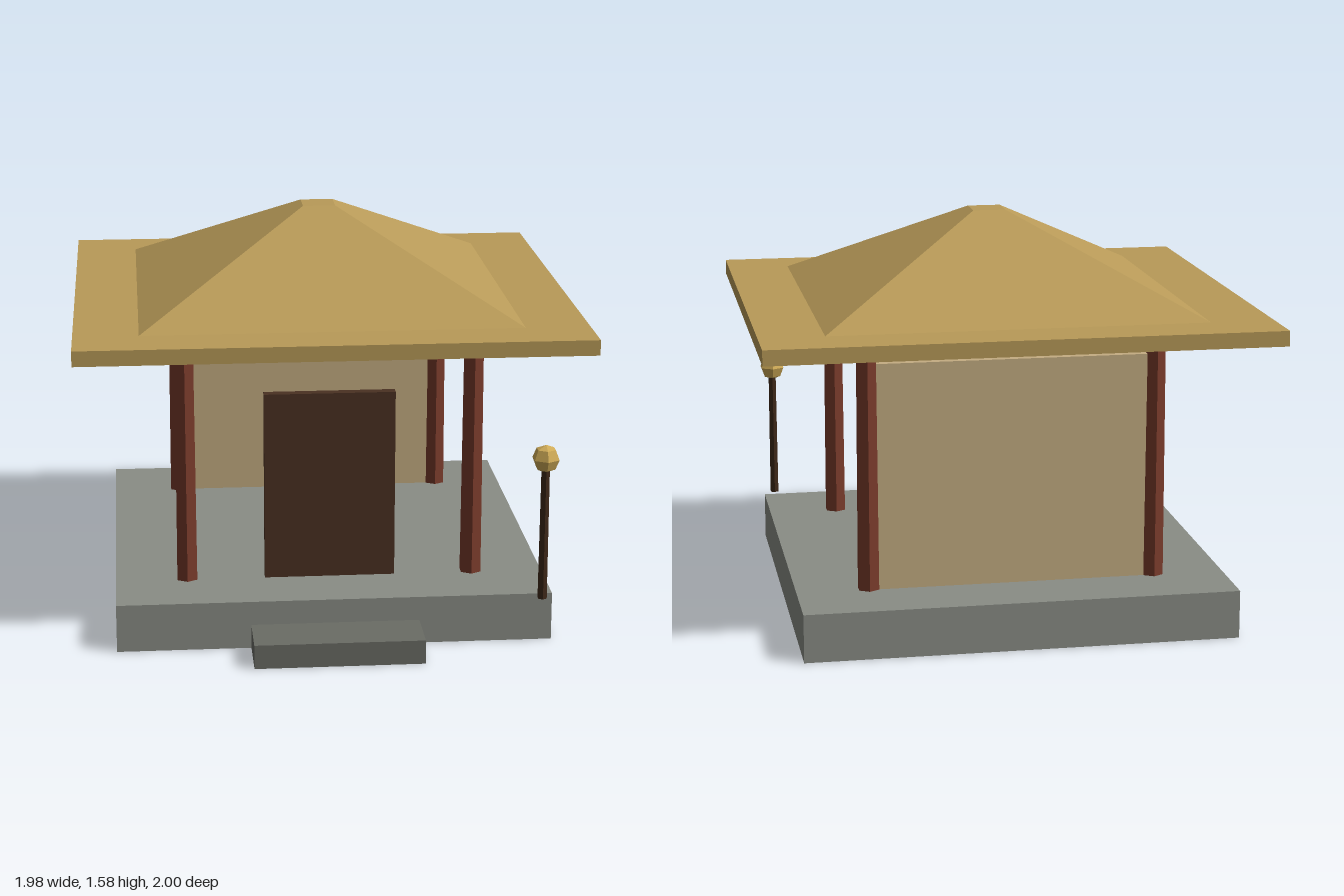
import * as THREE from 'three';

const mat = (color) => new THREE.MeshStandardMaterial({ color, flatShading: true });

export function createModel() {
  const group = new THREE.Group();
  const stone = mat(0x8a8d86), darkStone = mat(0x6a6c65), redWood = mat(0x7a3b2b);
  const plaster = mat(0xc4ad82), darkWood = mat(0x4a3122), thatch = mat(0xb89a58);
  const postWood = mat(0x3e2818), glow = mat(0xd0ac58);
  const midZ = -0.06; // centre of the pavilion; the step reaches further forward

  const add = (name, geometry, material, x, y, z) => {
    const mesh = new THREE.Mesh(geometry, material);
    mesh.name = name;
    mesh.position.set(x, y, z);
    group.add(mesh);
    return mesh;
  };
  // box standing on the height y0
  const box = (name, material, w, h, d, x, y0, z) =>
    add(name, new THREE.BoxGeometry(w, h, d), material, x, y0 + h / 2, z);

  // base
  box('platform', stone, 1.695, 0.19, 1.695, 0, 0, midZ);
  box('step', darkStone, 0.655, 0.095, 0.215, 0, 0, 0.8925);

  // four tapered six-sided pillars
  for (const x of [-0.565, 0.565]) {
    for (const z of [midZ - 0.565, midZ + 0.565]) {
      add('pillar', new THREE.CylinderGeometry(0.041, 0.045, 0.94, 6), redWood, x, 0.66, z);
    }
  }

  // back wall and front door panel
  box('backWall', plaster, 1.1, 0.895, 0.04, 0, 0.19, midZ - 0.565);
  box('door', darkWood, 0.515, 0.755, 0.04, 0, 0.19, midZ + 0.565);

  // roof: flat eaves with a blunt four-sided pyramid
  box('eaves', thatch, 1.975, 0.06, 1.88, 0, 1.172, midZ);
  const pyramid = new THREE.CylinderGeometry(0.065 * Math.SQRT2, 0.737 * Math.SQRT2, 0.348, 4);
  pyramid.rotateY(Math.PI / 4);
  add('roof', pyramid, thatch, 0, 1.232 + 0.174, midZ);

  // lamp beside the step
  add('lampPost', new THREE.CylinderGeometry(0.017, 0.019, 0.53, 6), postWood, 0.8, 0.455, 0.835);
  const globe = new THREE.SphereGeometry(0.055, 6, 4);
  globe.rotateY(Math.PI / 2);
  add('lampGlobe', globe, glow, 0.8, 0.757, 0.835);

  return group;
}
